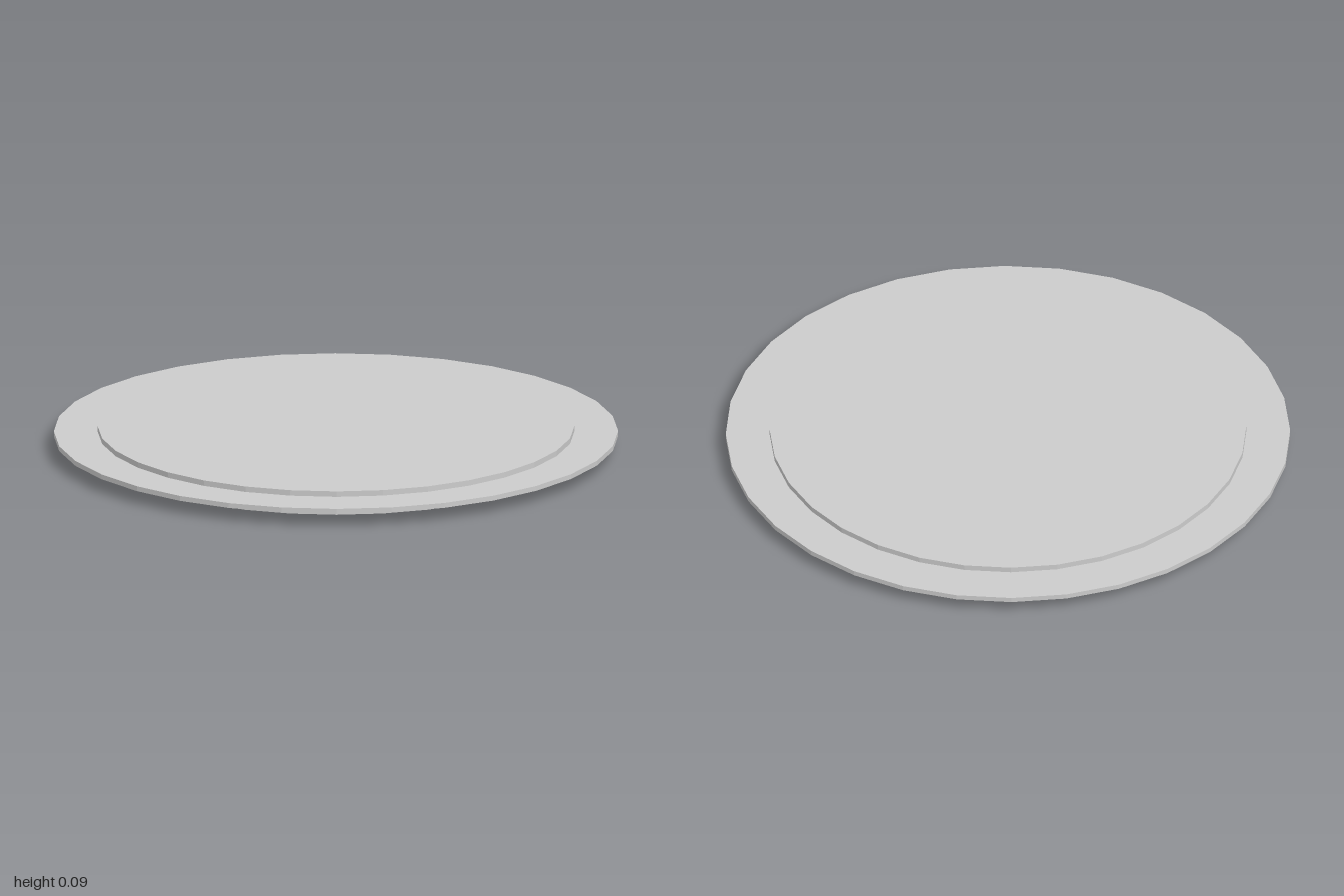
import * as THREE from 'three';

const SIDES = 32;
const BODY_R = 0.845, BODY_H = 0.086;
const RIM_R = 1, RIM_TOP = 0.066, RIM_BOTTOM = 0.048;

export function createModel() {
  const group = new THREE.Group();
  const material = new THREE.MeshStandardMaterial({
    color: 0xcccccc, flatShading: true, side: THREE.DoubleSide,
  });

  // Revolves a thin [radius, height] profile, listed from the bottom up
  const addShell = (name, profile) => {
    const points = profile.map(([r, y]) => new THREE.Vector2(r, y));
    const mesh = new THREE.Mesh(new THREE.LatheGeometry(points, SIDES), material);
    mesh.name = name;
    group.add(mesh);
  };

  // Raised lid: side wall and flat top, open underneath
  addShell('lid', [[BODY_R, 0], [BODY_R, BODY_H], [0, BODY_H]]);

  // Flange around the lid: short outer lip and flat ring, open underneath
  addShell('flange', [[RIM_R, RIM_BOTTOM], [RIM_R, RIM_TOP], [BODY_R, RIM_TOP]]);

  return group;
}
